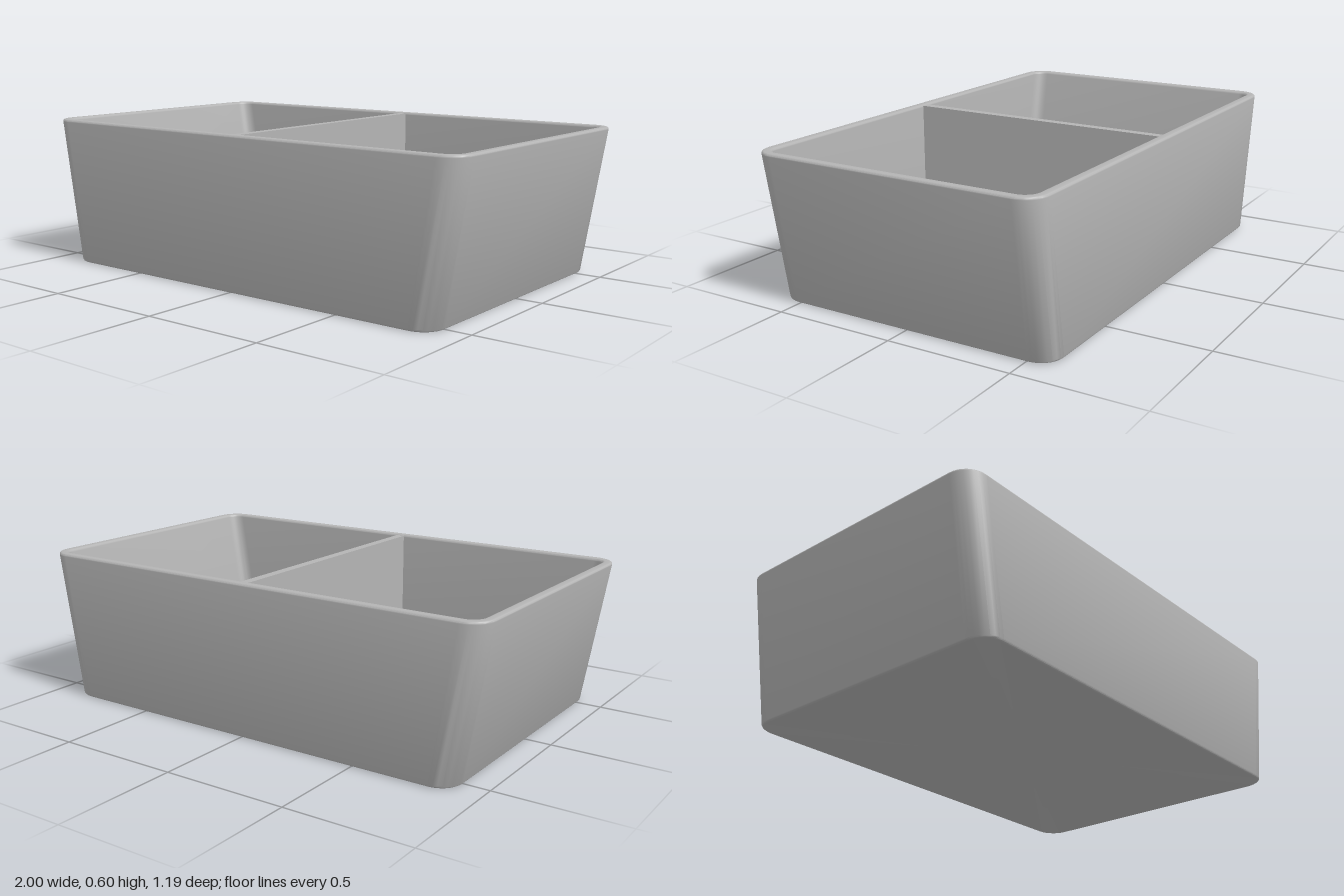
import * as THREE from 'three';
import { toCreasedNormals } from 'three/addons/utils/BufferGeometryUtils.js';

const HEIGHT = 0.6, HALF_DEPTH = 0.597, WALL = 0.04, FLOOR = 0.02, EDGE = 0.01, CORNER = 0.09;
const halfWidth = (y) => 0.9 + y / 6; // the two ends lean outwards

// Rounded rectangle at height y, pulled in from the outer surface by inset
function ring(inset, y) {
  const points = [], r = CORNER - inset, steps = 8;
  const cx = halfWidth(y) - CORNER, cz = HALF_DEPTH - CORNER;
  const signs = [[1, 1], [-1, 1], [-1, -1], [1, -1]];
  signs.forEach(([sx, sz], corner) => {
    for (let i = 0; i <= steps; i++) {
      const a = (corner + i / steps) * Math.PI / 2;
      points.push([sx * cx + r * Math.cos(a), y, sz * cz + r * Math.sin(a)]);
    }
  });
  return points;
}

// Skin the rings and close both ends with flat caps
function loft(rings) {
  const pos = [];
  const tri = (a, b, c) => pos.push(...a, ...b, ...c);
  const first = rings[0], last = rings[rings.length - 1], n = first.length;
  for (let i = 0; i < n; i++) {
    const j = (i + 1) % n;
    for (let k = 0; k < rings.length - 1; k++) {
      const lo = rings[k], hi = rings[k + 1];
      tri(lo[i], hi[i], lo[j]);
      tri(lo[j], hi[i], hi[j]);
    }
    tri([0, first[0][1], 0], first[i], first[j]);
    tri([0, last[0][1], 0], last[j], last[i]);
  }
  const geometry = new THREE.BufferGeometry();
  geometry.setAttribute('position', new THREE.Float32BufferAttribute(pos, 3));
  return toCreasedNormals(geometry, 0.6);
}

export function createModel() {
  const grey = new THREE.MeshStandardMaterial({ color: 0xb4b4b4 });
  grey.name = 'grey';
  const group = new THREE.Group();
  group.name = 'dividedBin';

  // Wall profile: bottom edge, outside, rounded rim, inside down to the floor
  const profile = [];
  const arc = (inset, y, from) => {
    for (let i = 0; i <= 4; i++) {
      const a = from - i * Math.PI / 8;
      profile.push([inset - EDGE * Math.cos(a), y + EDGE * Math.sin(a)]);
    }
  };
  const fillet = (inset, y, from, to) => {
    for (let i = 0; i <= 4; i++) {
      const a = from + (to - from) * i / 4;
      profile.push([inset - EDGE * Math.cos(a), y + EDGE * Math.sin(a)]);
    }
  };
  fillet(EDGE, EDGE, -Math.PI / 2, 0);
  fillet(EDGE, HEIGHT - EDGE, 0, Math.PI / 2);
  fillet(WALL - EDGE, HEIGHT - EDGE, Math.PI / 2, Math.PI);
  profile.push([WALL, FLOOR]);

  const shell = new THREE.Mesh(loft(profile.map(([inset, y]) => ring(inset, y))), grey);
  shell.name = 'shell';
  group.add(shell);

  // Central partition between the front and back walls
  const top = HEIGHT - 0.004;
  const divider = new THREE.Mesh(
    new THREE.BoxGeometry(0.036, top - FLOOR + 0.005, 2 * (HALF_DEPTH - WALL) + 0.01), grey);
  divider.position.y = (top + FLOOR - 0.005) / 2;
  divider.name = 'divider';
  group.add(divider);

  return group;
}
